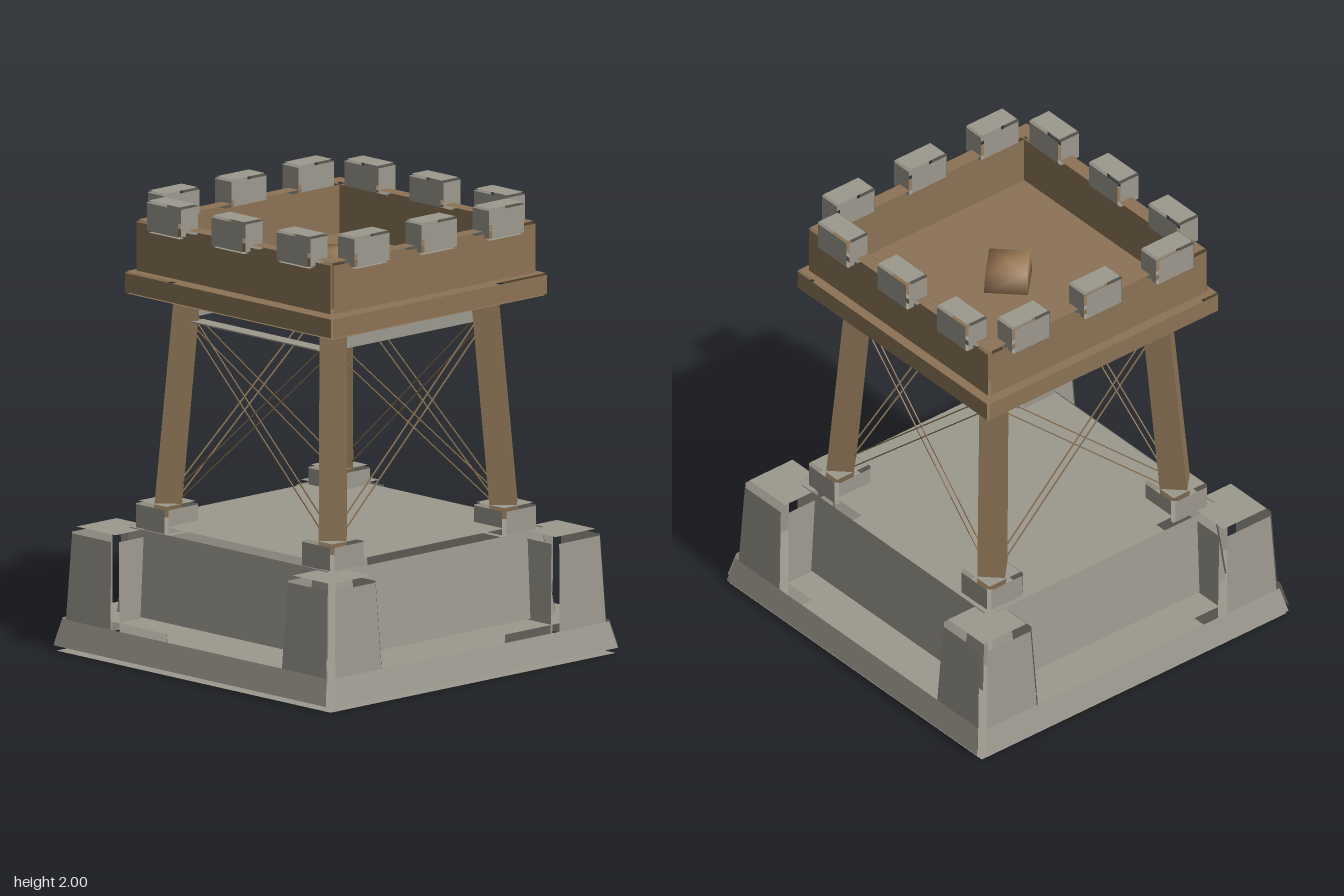
import * as THREE from 'three';
import { mergeVertices } from 'three/addons/utils/BufferGeometryUtils.js';

const material = (name, color) => {
  const m = new THREE.MeshStandardMaterial({ color, side: THREE.DoubleSide });
  m.name = name;
  return m;
};

// Tapered block made of six separate panels, each pulled back from the edges by a gap.
// bottom and top are [halfX, halfZ].
function panelBlock(bottom, top, y0, y1, gap) {
  const g = new THREE.BoxGeometry(2, 2, 2);
  const p = g.attributes.position, n = g.attributes.normal;
  const half = [(bottom[0] + top[0]) / 2, (y1 - y0) / 2, (bottom[1] + top[1]) / 2];
  for (let i = 0; i < p.count; i++) {
    const [a, b, c] = [0, 1, 2].map((k) =>
      p.getComponent(i, k) * (Math.abs(n.getComponent(i, k)) > 0.5 ? 1 : 1 - gap / half[k]));
    const t = (b + 1) / 2;
    p.setXYZ(i,
      a * THREE.MathUtils.lerp(bottom[0], top[0], t),
      THREE.MathUtils.lerp(y0, y1, t),
      c * THREE.MathUtils.lerp(bottom[1], top[1], t));
  }
  g.computeVertexNormals();
  return g;
}

export function createModel() {
  const stone = material('stone', 0x9c988e);
  const wood = material('wood', 0x8b7355);
  const lightWood = material('lightWood', 0x9c7a56);
  const model = new THREE.Group();
  model.name = 'watchtower';

  const add = (name, geometry, mat, parent = model, x = 0, z = 0) => {
    const m = new THREE.Mesh(geometry, mat);
    m.name = name;
    m.position.set(x, 0, z);
    parent.add(m);
    return m;
  };
  const corners = [[1, 1], [-1, 1], [-1, -1], [1, -1]];

  // Stone foundation
  add('basePlinth', panelBlock([0.875, 0.875], [0.835, 0.835], 0, 0.17, 0.027), stone);
  add('baseBlock', panelBlock([0.68, 0.68], [0.635, 0.635], 0.15, 0.575, 0.026), stone);

  // Open four-sided leg leaning towards the centre
  const legGeometry = (sx, sz) => {
    const y0 = 0.6, y1 = 1.575;
    const g = new THREE.CylinderGeometry(0.081, 0.084, y1 - y0, 4, 1, true).toNonIndexed();
    g.translate(0, (y0 + y1) / 2, 0);
    const p = g.attributes.position;
    for (let i = 0; i < p.count; i++) {
      const off = THREE.MathUtils.mapLinear(p.getY(i), y0, y1, 0.511, 0.45);
      p.setX(i, p.getX(i) + sx * off);
      p.setZ(i, p.getZ(i) + sz * off);
    }
    g.computeVertexNormals();
    return g;
  };

  // Corner piers, footings and legs
  for (const [sx, sz] of corners) {
    add('cornerPier', panelBlock([0.172, 0.172], [0.143, 0.143], 0, 0.545, 0.026),
      stone, model, sx * 0.667, sz * 0.667);
    add('legFooting', panelBlock([0.1, 0.1], [0.1, 0.1], 0.53, 0.66, 0.013),
      stone, model, sx * 0.512, sz * 0.512);
    add('leg', legGeometry(sx, sz), wood);
  }

  // Thin strip between two points
  const strip = (name, a, b, parent) => {
    const from = new THREE.Vector3(...a), to = new THREE.Vector3(...b);
    const m = add(name, new THREE.BoxGeometry(0.005, 0.005, from.distanceTo(to)), wood, parent);
    m.position.copy(from).lerp(to, 0.5);
    m.lookAt(to);
  };

  // Cross braces, parapet walls and merlons on each of the four sides
  for (let side = 0; side < 4; side++) {
    const group = new THREE.Group();
    group.name = 'towerSide';
    for (const s of [1, -1]) {
      for (const drop of [0, 0.06]) {
        strip('crossBrace', [-s * 0.385, 1.46 - drop, 0.46], [s * 0.435, 0.74 - drop, 0.505], group);
      }
    }
    add('parapetWall', panelBlock([0.61, 0.042], [0.61, 0.042], 1.662, 1.895, 0.01),
      wood, group, 0, 0.567);
    for (const x of [-0.4, 0, 0.4]) {
      add('merlon', panelBlock([0.105, 0.059], [0.105, 0.059], 1.86, 2, 0.009),
        stone, group, x, 0.588);
    }
    group.rotation.y = side * Math.PI / 2;
    model.add(group);
  }

  // Stone ties under the platform: upright plates at the sides, flat pairs front and back
  for (const s of [1, -1]) {
    add('sideTie', new THREE.BoxGeometry(0.008, 0.075, 0.78), stone, model, s * 0.45).position.y = 1.5;
    for (const y of [1.46, 1.54]) {
      add('crossTie', new THREE.BoxGeometry(0.78, 0.006, 0.07), stone, model, 0, s * 0.45).position.y = y;
    }
  }

  // Platform deck
  add('platform', panelBlock([0.643, 0.643], [0.643, 0.643], 1.57, 1.667, 0.007), wood);

  // Smooth four-sided stump in the middle of the deck
  const stump = new THREE.CylinderGeometry(0.126, 0.135, 0.11, 4);
  stump.deleteAttribute('normal');
  stump.deleteAttribute('uv');
  const smoothStump = mergeVertices(stump);
  smoothStump.computeVertexNormals();
  add('deckStump', smoothStump, lightWood).position.y = 1.715;

  return model;
}
